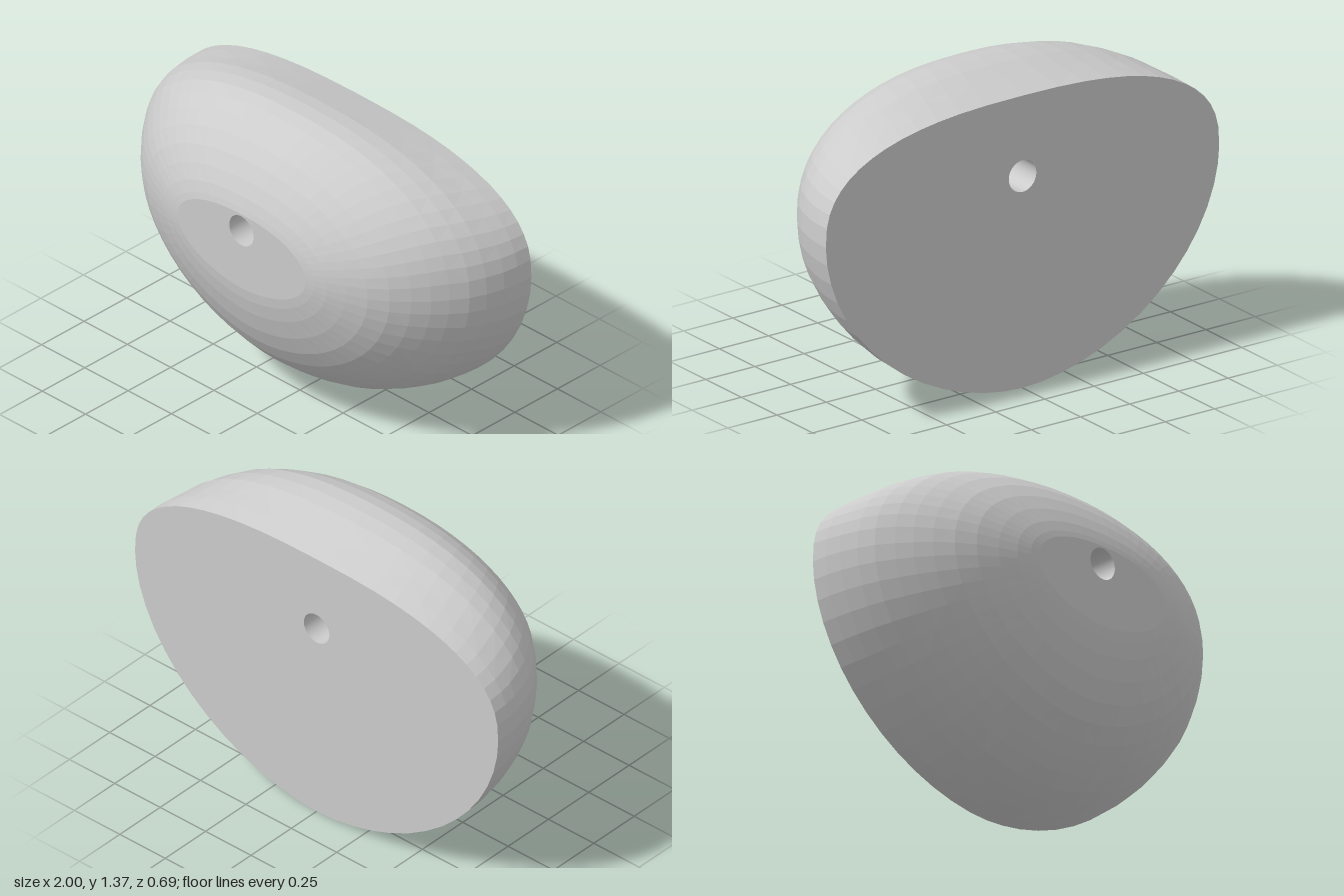
import * as THREE from 'three';

const SIDES = 56;
const WIDEST_Y = 0.85;

// Sections from back to front: z, half width, bottom, top, roundness of the upper half
const SECTIONS = [
  [-0.343, 1.0, 0.004, 1.295, 2.6],
  [-0.27, 0.997, 0.01, 1.317, 2.5],
  [-0.2, 0.985, 0.022, 1.338, 2.4],
  [-0.12, 0.962, 0.047, 1.362, 2.35],
  [-0.05, 0.932, 0.075, 1.372, 2.3],
  [0.02, 0.885, 0.118, 1.37, 2.3],
  [0.08, 0.838, 0.165, 1.352, 2.25],
  [0.14, 0.782, 0.217, 1.322, 2.2],
  [0.2, 0.715, 0.283, 1.272, 2.2],
  [0.25, 0.638, 0.36, 1.213, 2.2],
  [0.29, 0.55, 0.447, 1.15, 2.2],
  [0.32, 0.47, 0.54, 1.09, 2.2],
  [0.336, 0.41, 0.61, 1.045, 2.2],
  [0.343, 0.37, 0.66, 1.02, 2.2],
];

const power = (v, n) => Math.sign(v) * Math.abs(v) ** (2 / n);

// Egg-shaped outline: a superellipse with different upper and lower halves
function outline([z, width, bottom, top, roundness]) {
  return Array.from({ length: SIDES }, (_, j) => {
    const t = (j / SIDES) * Math.PI * 2;
    const s = Math.sin(t);
    const n = s >= 0 ? roundness : 1.87;
    const height = s >= 0 ? top - WIDEST_Y : WIDEST_Y - bottom;
    return [width * power(Math.cos(t), n), WIDEST_Y + height * power(s, n), z];
  });
}

function holeRing(z) {
  return Array.from({ length: SIDES }, (_, j) => {
    const t = (j / SIDES) * Math.PI * 2;
    return [0.07 * Math.cos(t), 0.94 + 0.07 * Math.sin(t), z];
  });
}

// Joins the rings into one closed skin; the last ring runs back to the first
function loft(rings) {
  const index = [];
  rings.forEach((_, i) => {
    const next = (i + 1) % rings.length;
    for (let j = 0; j < SIDES; j++) {
      const k = (j + 1) % SIDES;
      const a = i * SIDES + j, b = i * SIDES + k;
      const c = next * SIDES + j, d = next * SIDES + k;
      if ((i + j) % 2) index.push(a, b, c, b, d, c);
      else index.push(a, b, d, a, d, c);
    }
  });
  const geometry = new THREE.BufferGeometry();
  geometry.setAttribute('position', new THREE.Float32BufferAttribute(rings.flat(2), 3));
  geometry.setIndex(index);
  geometry.computeVertexNormals();
  return geometry;
}

export function createModel() {
  const group = new THREE.Group();
  group.name = 'climbingHold';

  // Rounded body with flat back, flat front patch and bolt hole through it
  const rings = [holeRing(-0.343), ...SECTIONS.map(outline), holeRing(0.343)];
  const body = new THREE.Mesh(
    loft(rings),
    new THREE.MeshStandardMaterial({ color: 0xcccccc, flatShading: true })
  );
  body.name = 'holdBody';
  group.add(body);
  return group;
}
